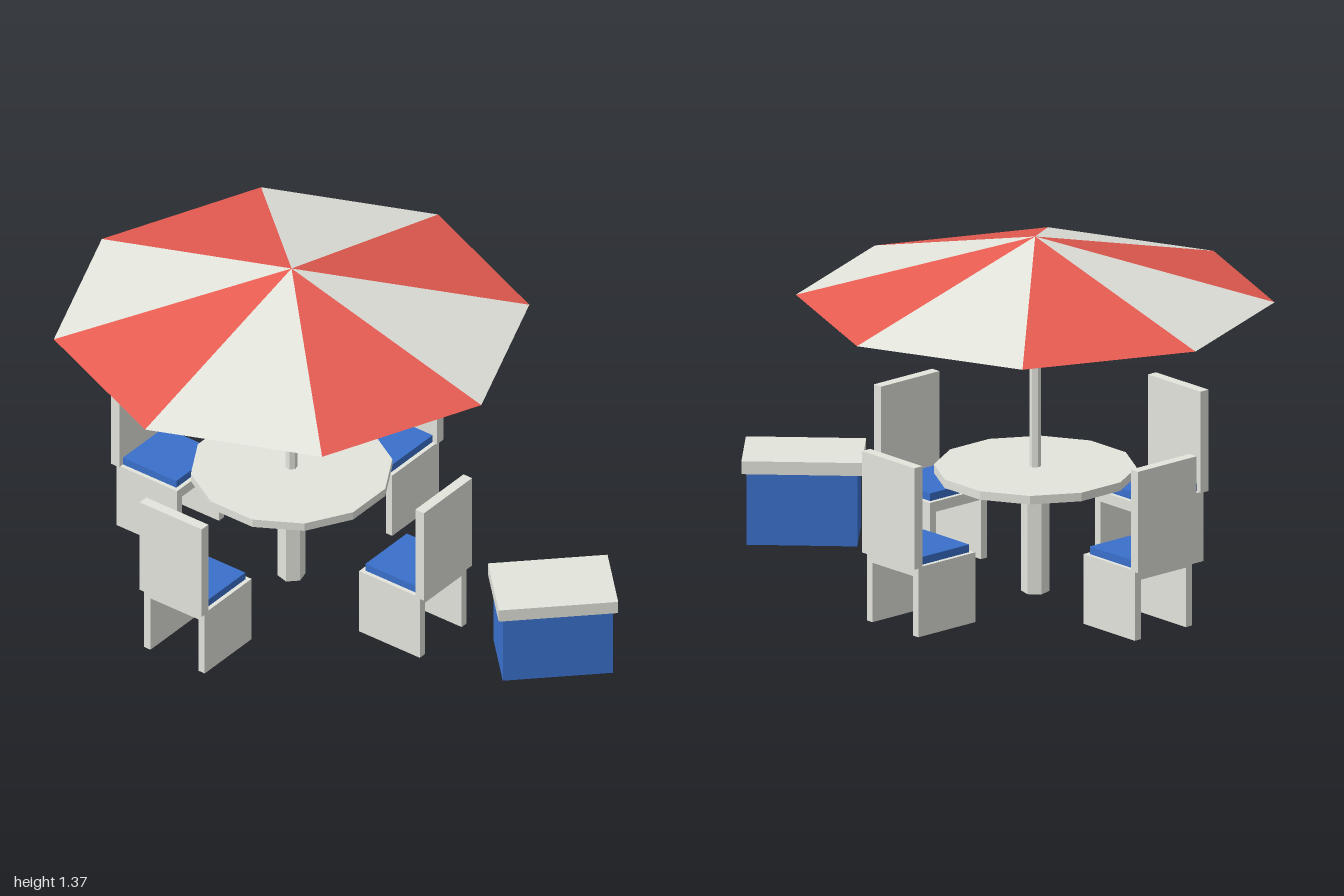
import * as THREE from 'three';

const material = (name, color) => {
  const m = new THREE.MeshStandardMaterial({ color, side: THREE.DoubleSide });
  m.name = name;
  return m;
};

export function createModel() {
  const white = material('offWhite', 0xe3e4dc);
  const red = material('red', 0xe85c52);
  const blue = material('blue', 0x3a70cc);

  const root = new THREE.Group();
  root.name = 'patioSet';

  // Adds a mesh with crisp, flat faces
  const add = (parent, name, geometry, mat, x, y, z) => {
    const flat = geometry.toNonIndexed();
    flat.computeVertexNormals();
    const mesh = new THREE.Mesh(flat, mat);
    mesh.name = name;
    mesh.position.set(x, y, z);
    parent.add(mesh);
    return mesh;
  };
  // Box given by its size, bottom height and centre
  const box = (parent, name, mat, w, h, d, x, bottom, z) =>
    add(parent, name, new THREE.BoxGeometry(w, h, d), mat, x, bottom + h / 2, z);
  // Upright prism between two heights
  const prism = (parent, name, r, y0, y1, sides, start = 0) =>
    add(parent, name, new THREE.CylinderGeometry(r, r, y1 - y0, sides, 1, false, start), white, 0, (y0 + y1) / 2, 0);

  // Table, parasol and chairs share one centre
  const dining = new THREE.Group();
  dining.name = 'tableAndChairs';
  dining.position.x = -0.115;
  root.add(dining);

  prism(dining, 'tableTop', 0.375, 0.45, 0.483, 12);
  prism(dining, 'tablePost', 0.052, 0, 0.45, 6, Math.PI / 6);
  prism(dining, 'parasolPole', 0.022, 0.483, 1.36, 6, Math.PI / 6);

  // Eight canopy panels in alternating colours
  const canopy = new THREE.Group();
  canopy.name = 'canopy';
  dining.add(canopy);
  for (let i = 0; i < 8; i++) {
    const panel = new THREE.ConeGeometry(0.885, 0.24, 1, 1, true, i * Math.PI / 4, Math.PI / 4);
    add(canopy, 'canopyPanel', panel, i % 2 ? white : red, 0, 1.25, 0);
  }

  // Four chairs on the diagonals, backs outward (local +z)
  for (let i = 0; i < 4; i++) {
    const chair = new THREE.Group();
    chair.name = 'chair';
    chair.rotation.y = Math.PI / 4 + i * Math.PI / 2;
    dining.add(chair);
    box(chair, 'seat', white, 0.283, 0.04, 0.283, 0, 0.23, 0.566);
    for (const side of [-1, 1]) {
      box(chair, 'sideLeg', white, 0.03, 0.23, 0.283, side * 0.1265, 0, 0.566);
    }
    box(chair, 'backrest', white, 0.29, 0.392, 0.04, 0, 0.267, 0.71);
    box(chair, 'cushion', blue, 0.25, 0.03, 0.25, 0, 0.27, 0.566);
  }

  // Cool box
  const cooler = new THREE.Group();
  cooler.name = 'coolBox';
  cooler.position.set(0.775, 0, 0.65);
  root.add(cooler);
  box(cooler, 'coolBoxBody', blue, 0.41, 0.278, 0.275, 0, 0, 0);
  box(cooler, 'coolBoxLid', white, 0.445, 0.05, 0.31, 0, 0.278, 0);

  return root;
}
